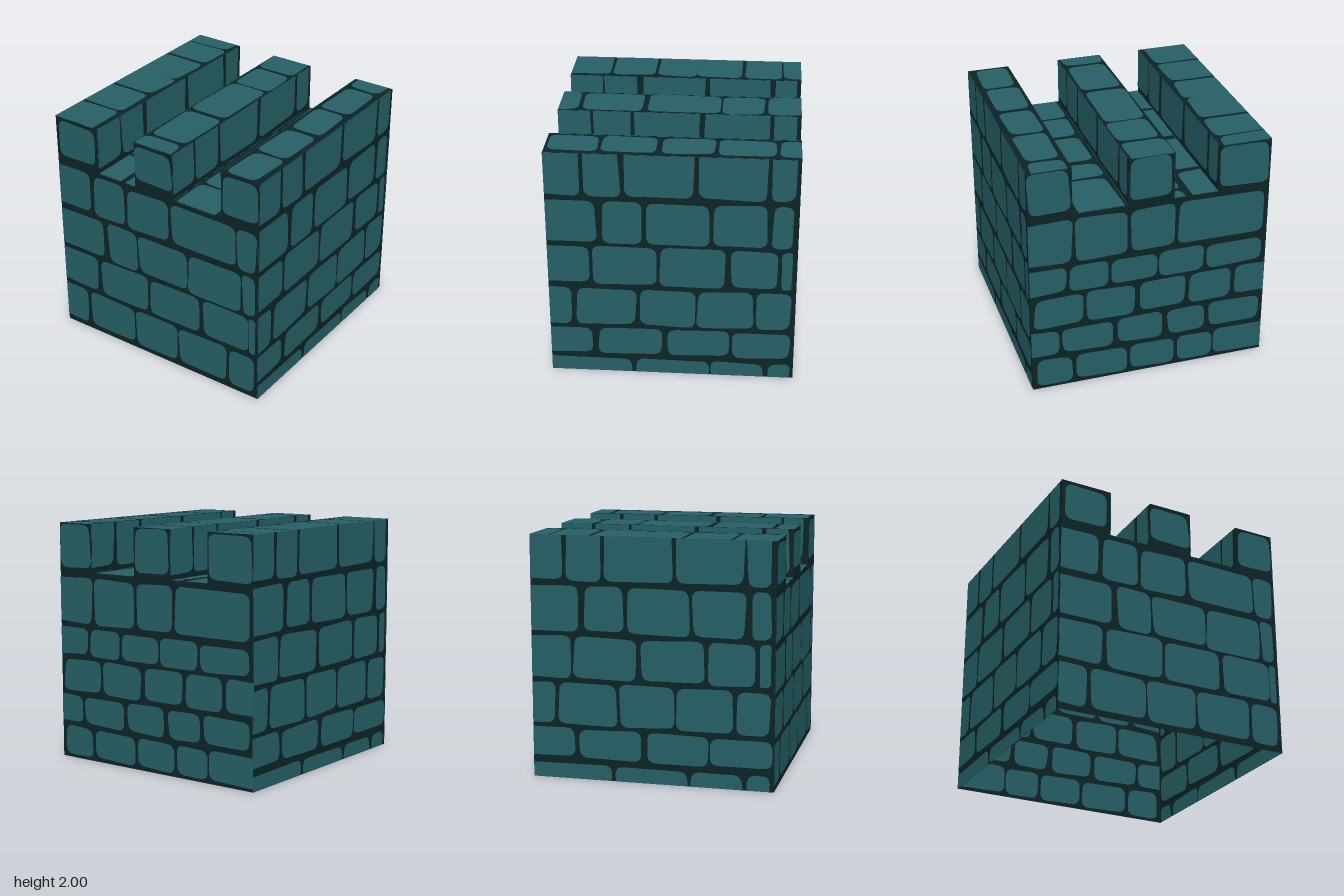
import * as THREE from 'three';
import { mergeGeometries } from 'three/addons/utils/BufferGeometryUtils.js';

const stone = new THREE.MeshStandardMaterial({ color: 0x255f65, side: THREE.DoubleSide });
stone.name = 'tealStone';
const mortar = new THREE.MeshStandardMaterial({ color: 0x0d2325, side: THREE.DoubleSide });
mortar.name = 'darkMortar';

let seed = 7;
function jitter(a) {
  seed = (seed * 16807) % 2147483647;
  return (seed / 2147483647 - 0.5) * 2 * a;
}

// One uneven, round-cornered stone, cut off where it meets the panel edge
function stoneGeometry([a, b, c, d], [pa, pb, pc, pd]) {
  const e = 0.005, out = 0.1;
  if (a <= pa + e) a = pa - out;
  if (b <= pb + e) b = pb - out;
  if (c >= pc - e) c = pc + out;
  if (d >= pd - e) d = pd + out;
  const w = Math.min(0.014, (c - a) * 0.1), h = Math.min(0.012, (d - b) * 0.1);
  const corners = [[a, b], [c, b], [c, d], [a, d]].map(([x, y]) =>
    new THREE.Vector2(x + jitter(w), y + jitter(h)));
  const r = Math.min(0.07, (c - a) * 0.4, (d - b) * 0.4);
  const shape = new THREE.Shape();
  corners.forEach((p, i) => {
    const toward = (q) => q.clone().sub(p).setLength(r).add(p);
    const start = toward(corners[(i + 3) % 4]), end = toward(corners[(i + 1) % 4]);
    if (i) shape.lineTo(start.x, start.y);
    else shape.moveTo(start.x, start.y);
    shape.quadraticCurveTo(p.x, p.y, end.x, end.y);
  });
  const points = shape.getPoints(5).map((p) => new THREE.Vector2(
    THREE.MathUtils.clamp(p.x, pa, pc), THREE.MathUtils.clamp(p.y, pb, pd)));
  return new THREE.ShapeGeometry(new THREE.Shape(points));
}

// Courses: [v0, v1, [u0, u1, u0, u1, ...]] -> rectangles
function courses(rows) {
  return rows.flatMap(([v0, v1, us]) => {
    const list = [];
    for (let i = 0; i < us.length; i += 2) list.push([us[i], v0, us[i + 1], v1]);
    return list;
  });
}

// Columns seen on upward faces: [x0, x1, [z0, z1, ...]] -> rectangles
function columns(cols) {
  return cols.flatMap(([x0, x1, zs]) => {
    const list = [];
    for (let i = 0; i < zs.length; i += 2) list.push([x0, -zs[i + 1], x1, -zs[i]]);
    return list;
  });
}

// Flat mortar sheet with stones on both of its sides
function panel(name, rect, stones, position, rotation) {
  const group = new THREE.Group();
  group.name = name;
  const [a, b, c, d] = rect;
  const sheet = new THREE.PlaneGeometry(c - a, d - b).translate((a + c) / 2, (b + d) / 2, -0.003);
  const outer = mergeGeometries(stones.map((s) => stoneGeometry(s, rect)));
  const inner = outer.clone().translate(0, 0, -0.006);
  const add = (geometry, material, part) => {
    const mesh = new THREE.Mesh(geometry, material);
    mesh.name = part;
    group.add(mesh);
  };
  add(sheet, mortar, name + 'Mortar');
  add(outer, stone, name + 'OuterStones');
  add(inner, stone, name + 'InnerStones');
  group.position.set(...position);
  group.rotation.set(...rotation);
  return group;
}

export function createModel() {
  seed = 7;
  const model = new THREE.Group();
  model.name = 'stoneBattlement';
  const H = Math.PI / 2, FLOOR = 1.6;
  const add = (...args) => model.add(panel(...args));

  // Front and back walls below the merlons
  add('frontWall', [-1, 0, 1, FLOOR], courses([
    [0.05, 0.385, [-1, -0.765, -0.73, -0.26, -0.235, 0.187, 0.21, 0.685, 0.71, 0.97]],
    [0.43, 0.76, [-1, -0.63, -0.6, -0.1, -0.075, 0.43, 0.46, 0.9, 0.91, 0.97]],
    [0.79, 1.145, [-1, -0.54, -0.5, -0.2, -0.18, 0.3, 0.325, 0.825, 0.85, 0.97]],
    [1.19, 1.55, [-1, -0.66, -0.63, -0.305, -0.29, 0.14, 0.16, 0.77, 0.79, 0.97]],
  ]), [0, 0, 1], [0, 0, 0]);
  add('backWall', [-1, 0, 1, FLOOR], courses([
    [0.03, 0.27, [-0.97, -0.66, -0.63, -0.2, -0.17, 0.22, 0.25, 0.55, 0.58, 1]],
    [0.31, 0.55, [-1, -0.78, -0.74, -0.3, -0.27, 0.12, 0.16, 0.48, 0.52, 0.97]],
    [0.59, 0.86, [-0.97, -0.56, -0.53, -0.12, -0.09, 0.3, 0.34, 0.7, 0.73, 1]],
    [0.9, 1.12, [-1, -0.7, -0.67, -0.36, -0.33, 0.05, 0.08, 0.45, 0.48, 0.97]],
    [1.17, 1.55, [-1, -0.65, -0.62, -0.2, -0.17, 0.2, 0.24, 0.97]],
  ]), [0, 0, -1], [0, Math.PI, 0]);

  // Side walls rise to the full height
  const topCourse = [1.64, 2, [-1, -0.725, -0.7, -0.41, -0.375, 0.175, 0.21, 0.745, 0.775, 0.96]];
  const sideRows = [
    [0, 0.125, [-1, -0.34, -0.305, 0.3, 0.325, 0.745, 0.78, 0.97]],
    [0.18, 0.42, [-1, -0.65, -0.6, -0.075, -0.04, 0.465, 0.49, 0.97]],
    [0.46, 0.8, [-1, -0.81, -0.775, -0.29, -0.26, 0.18, 0.21, 0.66, 0.685, 0.96]],
    [0.845, 1.185, [-1, -0.67, -0.645, -0.13, -0.09, 0.43, 0.47, 0.85, 0.88, 0.96]],
    [1.225, 1.59, [-1, -0.605, -0.555, -0.23, -0.2, 0.305, 0.34, 0.76, 0.8, 0.955]],
    topCourse,
  ];
  add('leftWall', [-1, 0, 1, 2], courses(sideRows), [1, 0, 0], [0, H, 0]);
  add('rightWall', [-1, 0, 1, 2], courses(sideRows), [-1, 0, 0], [0, -H, 0]);

  // Merlons: three long ridges running front to back
  const merlons = [
    { name: 'rightMerlon', x0: -1, x1: -0.56, end: [-0.975, 1.645, -0.585, 1.97], top: [-1, -0.6],
      z: [-1, -0.85, -0.83, -0.51, -0.48, -0.1, -0.09, 0.24, 0.27, 0.64, 0.655, 1] },
    { name: 'middleMerlon', x0: -0.195, x1: 0.19, end: [-0.18, 1.67, 0.17, 1.97], top: [-0.18, 0.168],
      z: [-1, -0.735, -0.7, -0.36, -0.325, 0.265, 0.3, 0.8, 0.83, 1] },
    { name: 'leftMerlon', x0: 0.64, x1: 1, end: [0.66, 1.65, 0.98, 1.97], top: [0.67, 0.95],
      z: [-1, -0.84, -0.8, -0.355, -0.325, 0.09, 0.115, 0.56, 0.585, 0.97] },
  ];
  for (const { name, x0, x1, end, top, z } of merlons) {
    add(name + 'Front', [x0, FLOOR, x1, 2], [end], [0, 0, 1], [0, 0, 0]);
    add(name + 'Back', [-x1, FLOOR, -x0, 2], [[-x1 + 0.01, 1.63, -x0 - 0.02, 1.99]],
      [0, 0, -1], [0, Math.PI, 0]);
    add(name + 'Top', [x0, -1, x1, 1], columns([[...top, z]]), [0, 2, 0], [-H, 0, 0]);
    if (x1 < 1) add(name + 'LeftSide', [-1, FLOOR, 1, 2], courses([topCourse]), [x1, 0, 0], [0, H, 0]);
    if (x0 > -1) add(name + 'RightSide', [-1, FLOOR, 1, 2], courses([topCourse]), [x0, 0, 0], [0, -H, 0]);
  }

  // Channel floors between the merlons
  add('rightChannelFloor', [-0.56, -1, -0.195, 1], columns([
    [-0.56, -0.34, [-1, -0.61, -0.55, -0.025, 0.035, 0.58, 0.61, 1]],
    [-0.3, -0.195, [-1, -0.9, -0.86, -0.355, -0.3, 0.26, 0.285, 0.805, 0.84, 1]],
  ]), [0, FLOOR, 0], [-H, 0, 0]);
  add('leftChannelFloor', [0.19, -1, 0.64, 1], columns([
    [0.22, 0.585, [-1, -0.505, -0.475, -0.24, -0.185, 0.255, 0.295, 0.635, 0.67, 1]],
  ]), [0, FLOOR, 0], [-H, 0, 0]);

  return model;
}
